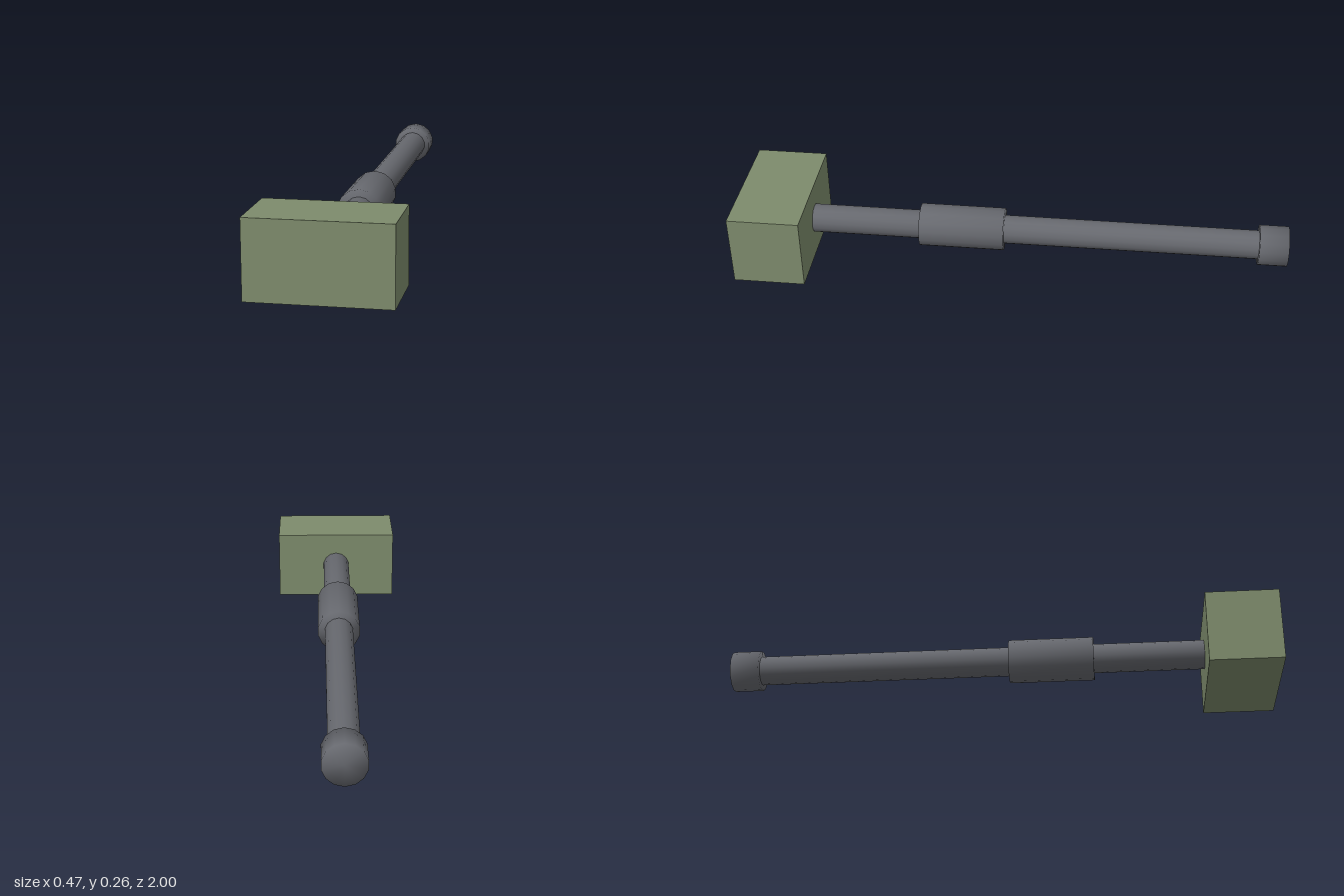
import * as THREE from 'three';

const AXIS_Y = 0.132; // height of the handle's centre line
const SIDES = 14;

const green = new THREE.MeshStandardMaterial({ color: 0x7d8b6c });
const grey = new THREE.MeshStandardMaterial({ color: 0x66686e });

// Closed round bar along z, with normals softened over its rims
function roundBar(name, radius, zBack, zFront) {
  const profile = [[0, zBack], [radius, zBack], [radius, zFront], [0, zFront]]
    .map(([r, z]) => new THREE.Vector2(r, z));
  const geometry = new THREE.LatheGeometry(profile, SIDES).rotateX(Math.PI / 2);
  const mesh = new THREE.Mesh(geometry, grey);
  mesh.name = name;
  mesh.position.y = AXIS_Y;
  return mesh;
}

export function createModel() {
  const model = new THREE.Group();
  model.name = 'mallet';

  // Block head at the front
  const head = new THREE.Mesh(new THREE.BoxGeometry(0.472, 0.264, 0.26), green);
  head.name = 'head';
  head.position.set(0, AXIS_Y, 0.87);
  model.add(head);

  // Handle: two shaft lengths, thick collar between, knob at the back
  model.add(
    roundBar('frontShaft', 0.053, 0.34, 0.74),
    roundBar('collar', 0.079, 0.03, 0.34),
    roundBar('rearShaft', 0.053, -0.895, 0.03),
    roundBar('endKnob', 0.074, -1, -0.895)
  );
  return model;
}
